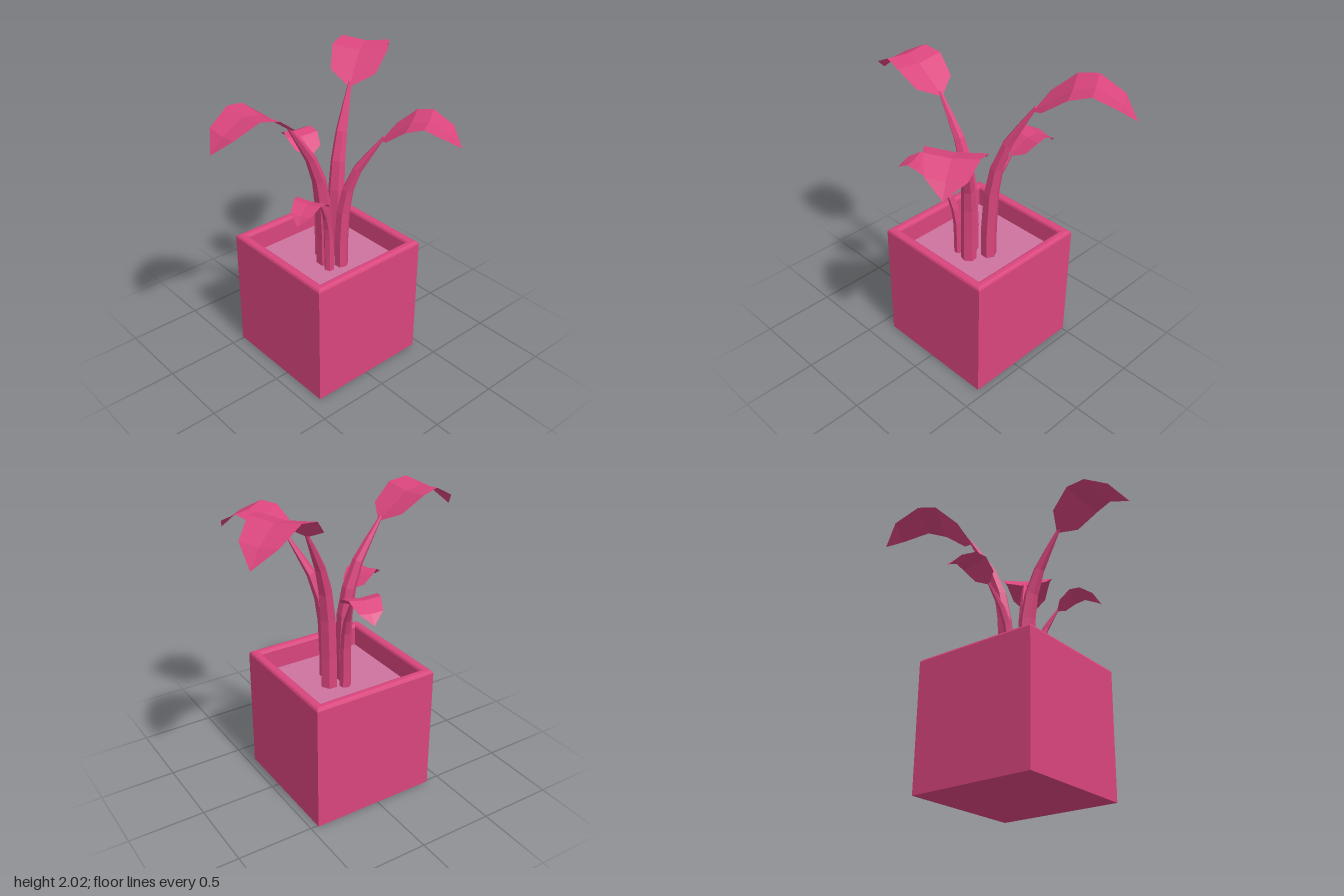
import * as THREE from 'three';

const pink = new THREE.MeshStandardMaterial({ color: 0xd9457d, side: THREE.DoubleSide });
pink.name = 'pink';
const mauve = new THREE.MeshStandardMaterial({ color: 0xcc739f });
mauve.name = 'mauve';

const SOIL_Y = 0.71;
const UP = new THREE.Vector3(0, 1, 0);

function mesh(name, geometry, material) {
  const m = new THREE.Mesh(geometry, material);
  m.name = name;
  return m;
}

// Skins rows of points with flat-shaded faces, leaving out collapsed ones
function skin(rows, closed) {
  const tris = [];
  const add = (a, b, c) => {
    if (a.distanceTo(b) > 1e-5 && b.distanceTo(c) > 1e-5 && a.distanceTo(c) > 1e-5) tris.push(a, b, c);
  };
  for (let i = 0; i < rows.length - 1; i++) {
    const n = rows[i].length;
    for (let j = 0; j < (closed ? n : n - 1); j++) {
      const k = (j + 1) % n;
      add(rows[i][j], rows[i][k], rows[i + 1][k]);
      add(rows[i][j], rows[i + 1][k], rows[i + 1][j]);
    }
  }
  const g = new THREE.BufferGeometry().setFromPoints(tris);
  g.computeVertexNormals();
  return g;
}

// Stem: [height fraction, outward fraction, radius fraction]
const STEM = [[0, 0, 1], [0.2, 0, 1], [0.45, 0.05, 0.96], [0.62, 0.17, 0.85],
  [0.78, 0.42, 0.66], [0.9, 0.73, 0.45], [1.03, 1.08, 0.18]];

function stem(base, joint, radius) {
  const out = joint.clone().sub(base).setY(0);
  const side = new THREE.Vector3().crossVectors(UP, out).normalize();
  const path = STEM.map(([h, o]) => base.clone().addScaledVector(out, o)
    .setY(base.y + h * (joint.y - base.y)));
  const rows = path.map((p, i) => {
    const tangent = path[Math.min(i + 1, path.length - 1)].clone()
      .sub(path[Math.max(i - 1, 0)]).normalize();
    const normal = new THREE.Vector3().crossVectors(tangent, side);
    return Array.from({ length: 6 }, (_, j) => {
      const a = (j / 6) * Math.PI * 2;
      return p.clone().addScaledVector(side, Math.cos(a) * radius * STEM[i][2])
        .addScaledVector(normal, Math.sin(a) * radius * STEM[i][2] * 0.9);
    });
  });
  rows.push(rows[rows.length - 1].map(() => path[path.length - 1]));
  return skin(rows, true);
}

// Blade: [along, half width, rise], arching up and drooping to the tip
const BLADE = [[0, 0, 0], [0.13, 0.8, 0.1], [0.37, 1, 0.28],
  [0.58, 0.87, 0.325], [0.85, 0.65, 0.19], [1, 0, 0.03]];

function blade(start, tip, width) {
  const out = tip.clone().sub(start).setY(0);
  const length = out.length();
  const side = new THREE.Vector3().crossVectors(UP, out).normalize();
  return skin(BLADE.map(([along, w, rise]) => [-1, 0, 1].map((s) =>
    start.clone().addScaledVector(out, along).addScaledVector(side, s * w * width)
      .addScaledVector(UP, rise * length + Math.abs(s) * w * length * 0.035))), false);
}

// Each leaf: stem base [x, z], blade start [x, y, z], blade tip [x, z], stem radius, half width
const LEAVES = [
  ['frontLeaf', [-0.052, 0.025], [-0.052, 1.735, 0.28], [-0.052, 0.835], 0.057, 0.178],
  ['backLeaf', [-0.09, -0.105], [-0.21, 1.8, -0.32], [-0.52, -0.84], 0.057, 0.185],
  ['leftLeaf', [0.035, -0.045], [0.22, 1.62, -0.193], [0.631, -0.458], 0.052, 0.183],
  ['rightLeaf', [-0.15, -0.02], [-0.3, 1.36, -0.08], [-0.63, -0.142], 0.037, 0.114],
  ['smallLeaf', [0.03, 0.055], [0.09, 1.25, 0.17], [0.2, 0.445], 0.034, 0.103],
];

export function createModel() {
  const model = new THREE.Group();
  model.name = 'pottedPlant';

  // Square planter: four-sided lathe with a chamfered, hollow rim
  const pot = new THREE.Group();
  pot.name = 'planter';
  pot.position.set(-0.083, 0, -0.022);
  const profile = [[0, 0], [0.428, 0], [0.428, 0.842], [0.422, 0.854], [0.41, 0.86],
    [0.385, 0.86], [0.373, 0.854], [0.367, 0.842], [0.367, SOIL_Y - 0.02]]
    .map(([r, y]) => new THREE.Vector2(r * Math.SQRT2, y));
  const box = new THREE.LatheGeometry(profile, 4, Math.PI / 4).toNonIndexed();
  box.computeVertexNormals();
  pot.add(mesh('planterBox', box, pink));

  const soil = mesh('soil', new THREE.PlaneGeometry(0.734, 0.734).rotateX(-Math.PI / 2), mauve);
  soil.position.y = SOIL_Y;
  pot.add(soil);
  model.add(pot);

  // Leaves, each a tapering stem and an arched blade
  for (const [name, [bx, bz], start, [tx, tz], radius, width] of LEAVES) {
    const leaf = new THREE.Group();
    leaf.name = name;
    const joint = new THREE.Vector3(...start);
    leaf.add(mesh('stem', stem(new THREE.Vector3(bx, SOIL_Y - 0.01, bz), joint, radius), pink));
    leaf.add(mesh('blade', blade(joint, new THREE.Vector3(tx, 0, tz), width), pink));
    model.add(leaf);
  }
  return model;
}
